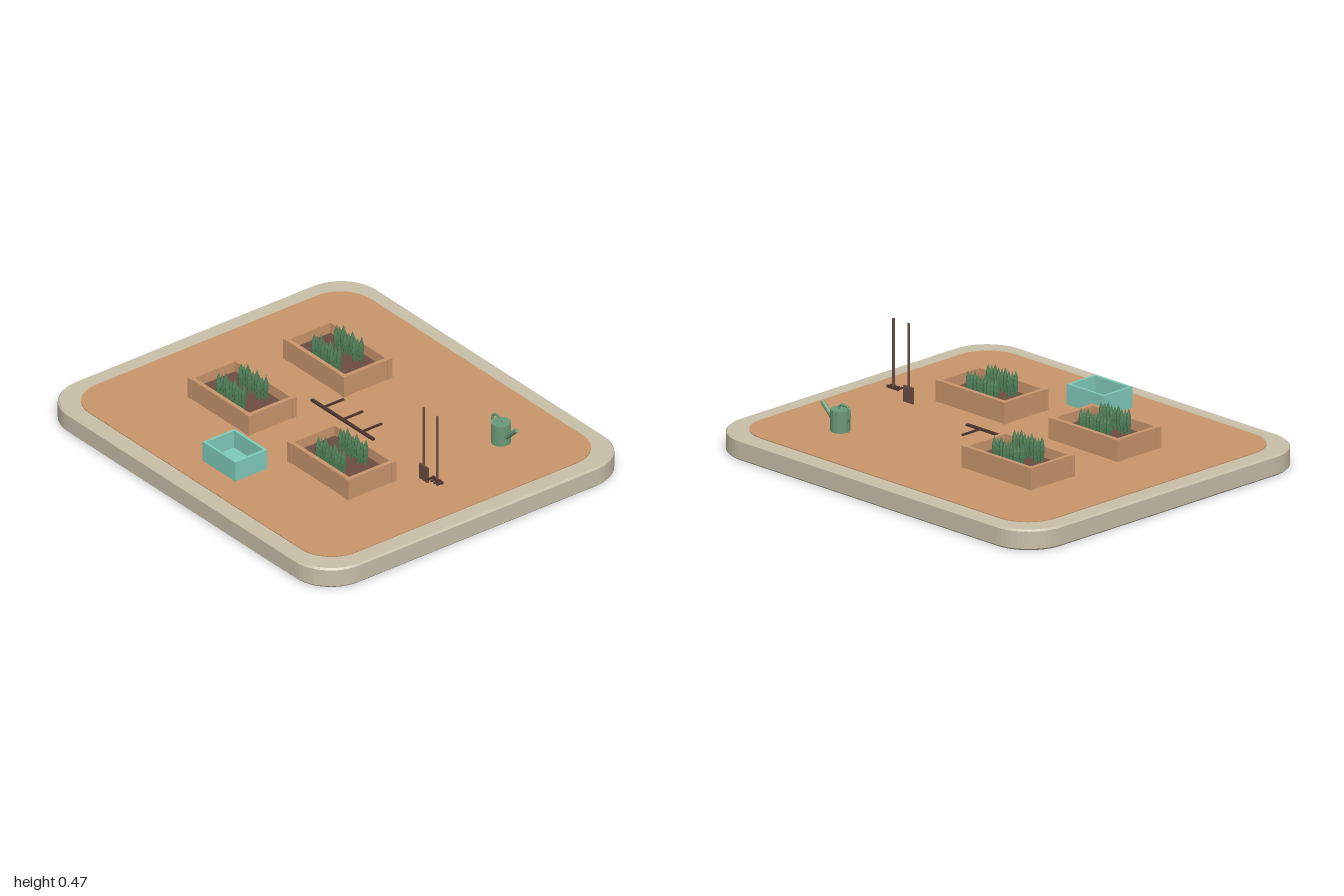
import * as THREE from 'three';

const mat = (name, color, extra = {}) => {
  const m = new THREE.MeshStandardMaterial({ color, ...extra });
  m.name = name;
  return m;
};

export function createModel() {
  const stone = mat('stone', 0xc9bfa9, { flatShading: true });
  const clay = mat('clay', 0xc9956c, { flatShading: true });
  const soil = mat('soil', 0x6d4c41, { flatShading: true });
  const leaf = mat('leaf green', 0x4f7f58, { flatShading: true });
  const canGreen = mat('can green', 0x6c9a78, { flatShading: true });
  const teal = mat('teal', 0x80cbbb, { flatShading: true });
  const dark = mat('dark brown', 0x4a342e, { flatShading: true });

  const model = new THREE.Group();
  model.name = 'gardenPlot';

  const group = (name, x = 0, y = 0, z = 0, parent = model) => {
    const g = new THREE.Group();
    g.name = name;
    g.position.set(x, y, z);
    parent.add(g);
    return g;
  };
  const add = (parent, name, geo, material, x = 0, y = 0, z = 0) => {
    const m = new THREE.Mesh(geo, material);
    m.name = name;
    m.position.set(x, y, z);
    parent.add(m);
    return m;
  };
  const box = (parent, name, material, w, h, d, x, y, z) =>
    add(parent, name, new THREE.BoxGeometry(w, h, d), material, x, y, z);
  // round bar between two points
  const bar = (parent, name, material, a, b, r0, r1 = r0, sides = 8) => {
    const p = new THREE.Vector3(...a), q = new THREE.Vector3(...b);
    const dir = q.clone().sub(p);
    const m = add(parent, name, new THREE.CylinderGeometry(r1, r0, dir.length(), sides), material);
    m.position.copy(p).add(q).multiplyScalar(0.5);
    m.quaternion.setFromUnitVectors(new THREE.Vector3(0, 1, 0), dir.normalize());
    return m;
  };

  // rounded slab lying flat, from y0 to y1
  const slab = (name, material, hx, hz, r, y0, y1, bevel) => {
    const a = hx - bevel, b = hz - bevel, c = r - bevel;
    const s = new THREE.Shape();
    s.moveTo(-a + c, -b);
    s.lineTo(a - c, -b);
    s.absarc(a - c, -b + c, c, -Math.PI / 2, 0);
    s.absarc(a - c, b - c, c, 0, Math.PI / 2);
    s.absarc(-a + c, b - c, c, Math.PI / 2, Math.PI);
    s.absarc(-a + c, -b + c, c, Math.PI, Math.PI * 1.5);
    const geo = new THREE.ExtrudeGeometry(s, {
      depth: y1 - y0 - 2 * bevel, bevelEnabled: bevel > 0, bevelSize: bevel,
      bevelThickness: bevel, bevelSegments: 1, curveSegments: 6,
    });
    geo.rotateX(-Math.PI / 2);
    add(model, name, geo, material, 0, y0 + bevel, 0);
  };
  slab('basePlate', stone, 1, 0.863, 0.2, 0, 0.096, 0.008);
  slab('ground', clay, 0.915, 0.785, 0.17, 0.09, 0.1, 0);

  // four walls of an open box
  const walls = (parent, name, material, w, h, d, t) => {
    for (const s of [-1, 1]) {
      box(parent, name + 'LongWall', material, w, h, t, 0, h / 2, s * (d - t) / 2);
      box(parent, name + 'EndWall', material, t, h, d - 2 * t, s * (w - t) / 2, h / 2, 0);
    }
  };

  // planted raised beds
  const sprout = new THREE.LatheGeometry(
    [[0, 0], [0.006, 0], [0.011, 0.055], [0.009, 0.08], [0, 0.11]].map(p => new THREE.Vector2(...p)), 6);
  const raisedBed = (x, z) => {
    const bed = group('raisedBed', x, 0.1, z);
    walls(bed, 'bed', clay, 0.424, 0.1, 0.264, 0.02);
    for (const sx of [-1, 1]) for (const sz of [-1, 1])
      box(bed, 'cornerPost', clay, 0.026, 0.1, 0.026, sx * 0.202, 0.0502, sz * 0.122);
    box(bed, 'bedSoil', soil, 0.39, 0.05, 0.23, 0, 0.025, 0);
    for (const px of [-0.064, 0, 0.064]) for (const pz of [-0.062, 0.062]) {
      const plant = group('plant', px, 0.05, pz, bed);
      for (const [lx, lz] of [[0, 0], [1, 0], [-1, 0], [0, 1], [0, -1]])
        add(plant, 'leaf', sprout, leaf, lx * 0.0215, 0, lz * 0.0215);
    }
  };
  raisedBed(-0.369, -0.302);
  raisedBed(-0.369, 0.231);
  raisedBed(0.333, 0.231);

  // open crate
  const crate = group('crate', 0, 0.1, 0.564);
  walls(crate, 'crate', teal, 0.23, 0.096, 0.178, 0.013);
  box(crate, 'crateFloor', teal, 0.21, 0.012, 0.16, 0, 0.006, 0);

  // flat three-pronged rack lying on the ground
  const rack = group('groundRack', 0, 0.108, 0);
  box(rack, 'rackBar', dark, 0.436, 0.009, 0.015, 0, 0, -0.037);
  for (const x of [-0.134, 0, 0.134])
    box(rack, 'rackProng', dark, 0.009, 0.008, 0.11, x, 0, -0.094);

  // standing spade
  const spade = group('spade', 0.617, 0, 0);
  bar(spade, 'spadeHandle', soil, [0, 0.16, 0], [0, 0.468, 0], 0.006);
  box(spade, 'spadeBlade', soil, 0.06, 0.075, 0.008, 0.002, 0.138, 0);

  // standing rake with tines pointing forward
  const rake = group('rake', 0.712, 0, 0);
  bar(rake, 'rakeHandle', soil, [0, 0.145, 0], [0, 0.468, 0], 0.006);
  box(rake, 'rakeHead', dark, 0.072, 0.011, 0.01, 0.003, 0.146, 0);
  for (let i = 0; i < 4; i++)
    box(rake, 'rakeTine', dark, 0.007, 0.008, 0.026, -0.027 + i * 0.02, 0.146, 0.016);

  // watering can
  const can = group('wateringCan', 0.567, 0.1, -0.47);
  add(can, 'canBody', new THREE.CylinderGeometry(0.045, 0.045, 0.1, 14), canGreen, 0, 0.05, 0);
  bar(can, 'canSpout', canGreen, [0.03, 0.035, 0], [0.112, 0.108, 0], 0.013, 0.01);
  const grip = new THREE.CatmullRomCurve3([
    [0.008, 0.095], [0.002, 0.117], [-0.048, 0.118], [-0.058, 0.1], [-0.055, 0.07], [-0.038, 0.045],
  ].map(([x, y]) => new THREE.Vector3(x, y, 0)));
  add(can, 'canHandle', new THREE.TubeGeometry(grip, 20, 0.006, 6), canGreen);

  return model;
}
